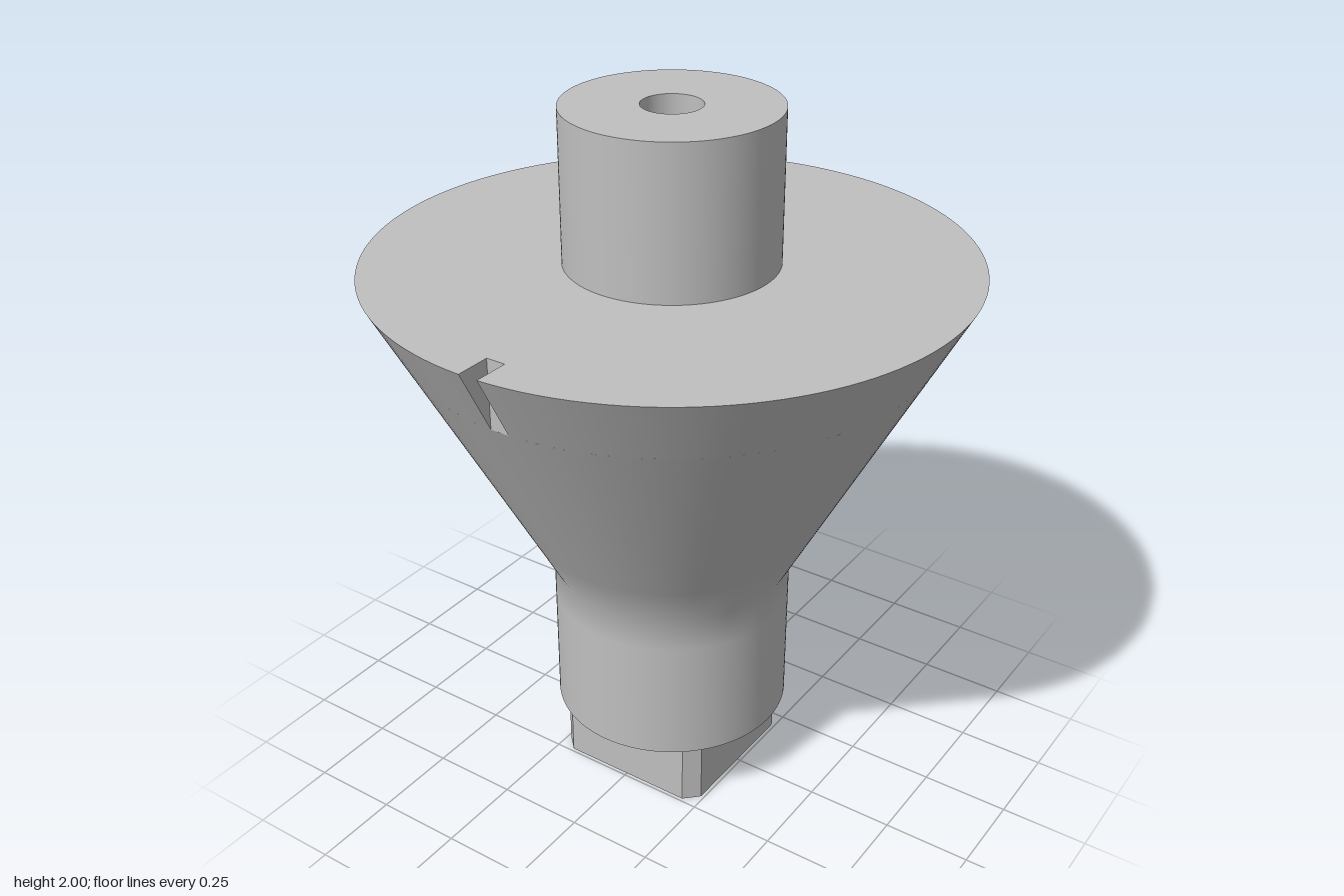
import * as THREE from 'three';
import { mergeGeometries } from 'three/addons/utils/BufferGeometryUtils.js';

const SEG = 128;
const steel = new THREE.MeshStandardMaterial({ color: 0xbfbfbf });
steel.name = 'steel grey';

// Revolve a profile; listed bottom to top it faces outward
const lathe = (pts, start = 0, length = Math.PI * 2) =>
  new THREE.LatheGeometry(pts.map(([r, y]) => new THREE.Vector2(r, y)), SEG, start, length);

// Revolve each profile segment on its own so every edge stays sharp
const sharpLathe = (pts) => mergeGeometries(pts.slice(1).map((p, i) => lathe([pts[i], p])));

const circleHole = (r) => new THREE.Path().absarc(0, 0, r, 0, Math.PI * 2, true);

export function createModel() {
  const model = new THREE.Group();
  model.name = 'taperedArbor';
  const add = (name, geometry) => {
    const mesh = new THREE.Mesh(geometry, steel);
    mesh.name = name;
    model.add(mesh);
  };

  const neckR = 0.34, neckTop = 0.66, rimR = 0.823, rimY = 1.58;
  const stemR = 0.29, boreR = 0.082, half = 0.027, backZ = 0.723;
  const coneY = (r) => neckTop + (r - neckR) / (rimR - neckR) * (rimY - neckTop);

  // Square drive foot with chamfered corners and a blind bore
  const a = 0.24, b = 0.2;
  const foot = new THREE.Shape(
    [[a, -b], [a, b], [b, a], [-b, a], [-a, b], [-a, -b], [-b, -a], [b, -a]]
      .map(([x, y]) => new THREE.Vector2(x, y)));
  foot.holes.push(circleHole(boreR));
  add('squareFoot', new THREE.ExtrudeGeometry(foot, { depth: 0.2, bevelEnabled: false, curveSegments: 32 })
    .rotateX(-Math.PI / 2));

  // Neck flowing softly into the cone, up to where the notch begins
  const notchR = Math.hypot(backZ, half), notchY = coneY(notchR);
  add('neckUnderside', lathe([[0, 0.2], [neckR, 0.2]]));
  add('neckAndLowerCone', lathe([[neckR, 0.2], [neckR, 0.56], [neckR, neckTop],
    [0.41, coneY(0.41)], [notchR, notchY]]));

  // Upper cone, left open across the notch
  const angleAt = (r) => Math.asin(half / r);
  const upper = lathe([[notchR, notchY], [rimR, rimY]]);
  const pos = upper.attributes.position;
  for (let i = 0; i < pos.count; i++) {
    const r = i % 2 ? rimR : notchR;
    const start = angleAt(r);
    const phi = start + Math.floor(i / 2) / SEG * (Math.PI * 2 - 2 * start);
    pos.setXYZ(i, r * Math.sin(phi), pos.getY(i), r * Math.cos(phi));
  }
  add('upperCone', upper);

  // Key notch: back wall and two side walls
  const rimZ = Math.sqrt(rimR * rimR - half * half);
  const notch = new THREE.BufferGeometry();
  notch.setAttribute('position', new THREE.Float32BufferAttribute([
    -half, notchY, backZ, half, notchY, backZ, half, rimY, backZ,
    -half, notchY, backZ, half, rimY, backZ, -half, rimY, backZ,
    half, notchY, backZ, half, rimY, rimZ, half, rimY, backZ,
    -half, notchY, backZ, -half, rimY, backZ, -half, rimY, rimZ,
  ], 3));
  notch.computeVertexNormals();
  add('keyNotch', notch);

  // Flat deck with the notch cut out of its edge
  const deck = new THREE.Shape();
  const gap = angleAt(rimR);
  deck.moveTo(-half, -backZ);
  deck.lineTo(half, -backZ);
  for (let i = 0; i <= SEG; i++) {
    const phi = gap + i / SEG * (Math.PI * 2 - 2 * gap);
    deck.lineTo(rimR * Math.sin(phi), -rimR * Math.cos(phi));
  }
  deck.holes.push(circleHole(stemR - 0.01));
  add('deck', new THREE.ShapeGeometry(deck, 48).rotateX(-Math.PI / 2).translate(0, rimY, 0));

  // Upper stem with a blind centre bore
  add('stem', sharpLathe([[stemR, rimY], [stemR, 2], [boreR, 2], [boreR, 1.7], [0, 1.7]]));

  return model;
}
